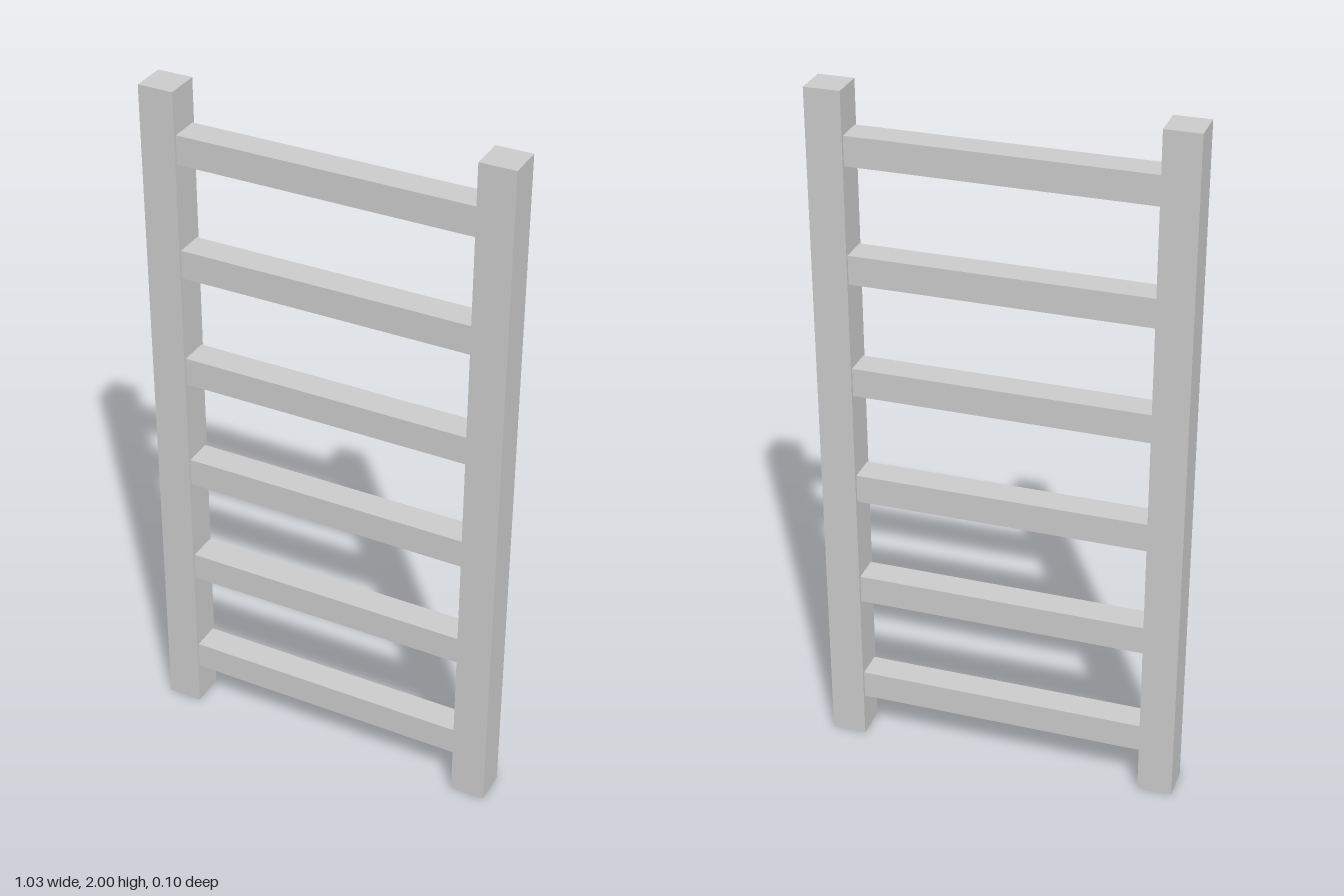
import * as THREE from 'three';

export function createModel() {
  const ladder = new THREE.Group();
  ladder.name = 'ladder';
  const material = new THREE.MeshStandardMaterial({ color: 0xcccccc, flatShading: true });

  const height = 2, railSize = 0.1, railX = 0.467;
  const rungCount = 6, rungSize = 0.083;
  const rungLength = 2 * railX - railSize;

  const addBar = (name, w, h, d, x, y) => {
    const bar = new THREE.Mesh(new THREE.BoxGeometry(w, h, d), material);
    bar.name = name;
    bar.position.set(x, y, 0);
    ladder.add(bar);
  };

  // Upright rails, mirrored across x
  addBar('leftRail', railSize, height, railSize, railX, height / 2);
  addBar('rightRail', railSize, height, railSize, -railX, height / 2);

  // Evenly spaced square rungs between the rails
  const spacing = height / rungCount;
  for (let i = 0; i < rungCount; i++) {
    addBar(`rung${i + 1}`, rungLength, rungSize, rungSize, 0, (i + 0.5) * spacing + 0.003);
  }

  return ladder;
}
